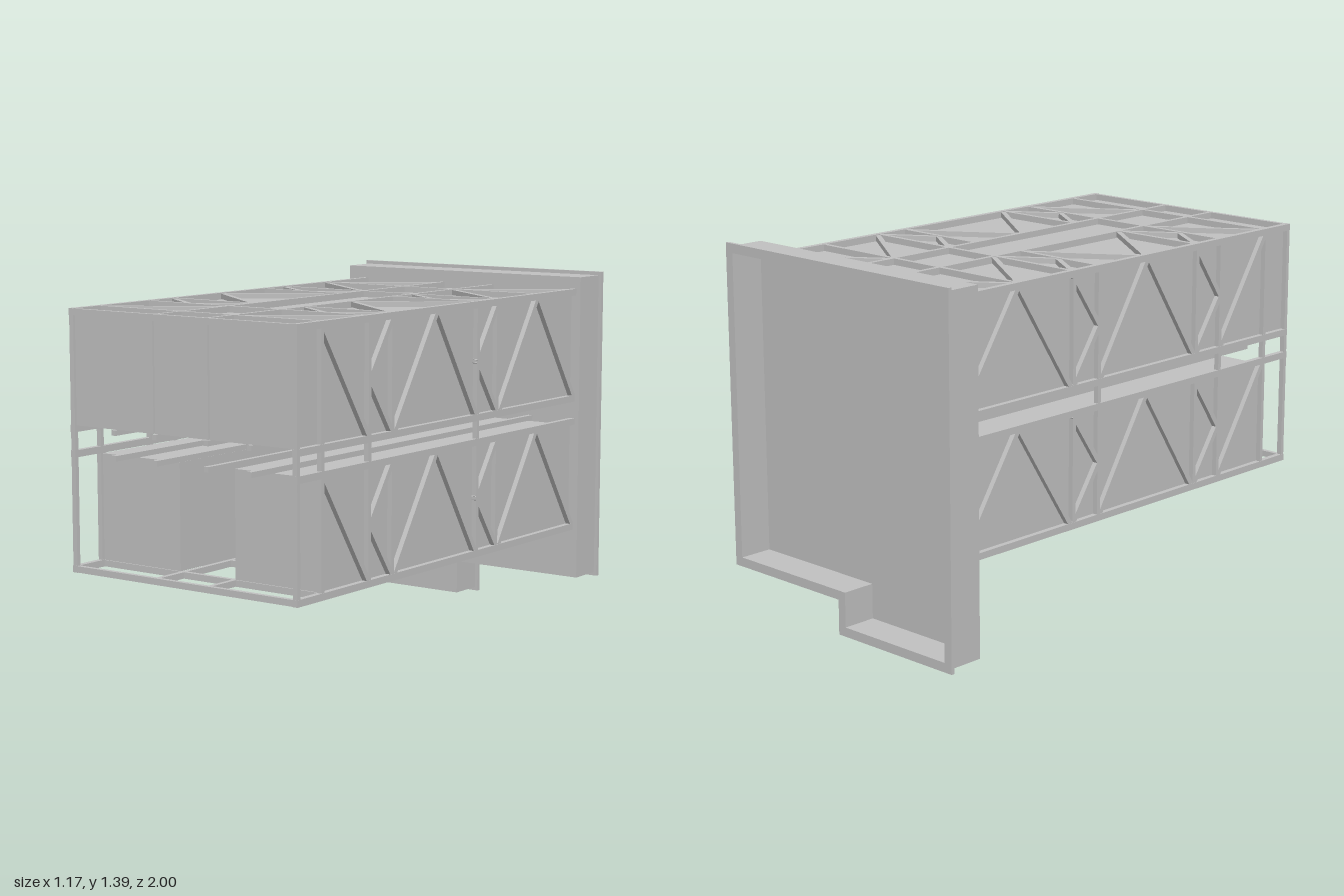
import * as THREE from 'three';

const grey = new THREE.MeshStandardMaterial({ color: 0xc0c0c0 });
grey.name = 'light grey';

const BACK = -0.845, FRONT = 1;
const xL = -0.483, xR = 0.54, xA = -0.092, xB = 0.15; // lengthwise beam lines
const yTop = 1.313, yUpper = 0.884, yLower = 0.79, yBase = 0.359;

function add(parent, name, geometry) {
  const mesh = new THREE.Mesh(geometry, grey);
  mesh.name = name;
  parent.add(mesh);
  return mesh;
}

// Box given by its min and max corners
function block(parent, name, a, b) {
  const mesh = add(parent, name, new THREE.BoxGeometry(b[0] - a[0], b[1] - a[1], b[2] - a[2]));
  mesh.position.set((a[0] + b[0]) / 2, (a[1] + b[1]) / 2, (a[2] + b[2]) / 2);
}

// Straight bar between two points
function bar(parent, name, a, b, w = 0.02, h = w) {
  const p = new THREE.Vector3(...a), q = new THREE.Vector3(...b);
  const mesh = add(parent, name, new THREE.BoxGeometry(w, h, p.distanceTo(q)));
  mesh.position.copy(p).add(q).multiplyScalar(0.5);
  mesh.lookAt(q);
}

// Notched outline of the end cover, moved inwards by d
function outline(d, Type = THREE.Shape) {
  const pts = [[-0.585 + d, d], [0.003 - d, d], [0.003 - d, 0.135 + d], [0.585 - d, 0.135 + d],
    [0.585 - d, 1.387 - d], [-0.585 + d, 1.387 - d]];
  return new Type(pts.map(([x, y]) => new THREE.Vector2(x, y)));
}

function slab(parent, name, outer, inner, z0, z1) {
  const shape = outline(outer);
  if (inner !== null) shape.holes.push(outline(inner, THREE.Path));
  add(parent, name, new THREE.ExtrudeGeometry(shape, { depth: z1 - z0, bevelEnabled: false })).position.z = z0;
}

export function createModel() {
  const model = new THREE.Group();
  model.name = 'framedUnit';

  // Hollow end cover with a thin rim
  const cover = new THREE.Group();
  cover.name = 'endCover';
  model.add(cover);
  slab(cover, 'coverPanel', 0.014, null, -0.865, BACK);
  slab(cover, 'coverWall', 0.014, 0.036, -0.986, -0.865);
  slab(cover, 'coverRim', 0, 0.036, -1, -0.986);

  // Closed compartments: three above, two below
  const boxes = new THREE.Group();
  boxes.name = 'compartments';
  model.add(boxes);
  for (const [x0, x1] of [[-0.473, -0.102], [-0.095, 0.151], [0.158, 0.529]])
    block(boxes, 'upperCompartment', [x0, 0.895, BACK], [x1, 1.3, 0.99]);
  for (const [x0, x1] of [[-0.473, -0.1], [0.157, 0.529]])
    block(boxes, 'lowerCompartment', [x0, 0.372, BACK], [x1, 0.775, 0.85]);

  // Side trusses
  const sides = new THREE.Group();
  sides.name = 'sideTrusses';
  model.add(sides);
  for (const x of [xL, xR]) {
    for (const y of [yTop, yUpper, yLower, yBase])
      bar(sides, 'sideBeam', [x, y, BACK], [x, y, FRONT], 0.022, 0.026);
    for (const z of [0.991, 0.852, 0.572, -0.132]) // full posts, crossing the middle gap
      bar(sides, 'post', [x, yBase, z], [x, yTop, z], 0.02, 0.016);
    for (const [lo, hi] of [[yUpper, yTop], [yBase, yLower]]) {
      const mid = (lo + hi) / 2;
      for (const z of [0.428, -0.268]) bar(sides, 'tierPost', [x, lo, z], [x, hi, z], 0.02, 0.016);
      const lines = [
        [[hi, 0.85], [lo, 0.57]],
        [[lo, 0.42], [hi, 0.14]], [[hi, 0.14], [lo, -0.13]],
        [[lo, -0.28], [hi, -0.56]], [[hi, -0.56], [lo, BACK]],
        [[mid, 0.57], [hi - 0.01, 0.43]], [[mid, 0.57], [lo + 0.01, 0.43]],
        [[mid, -0.13], [hi - 0.01, -0.27]], [[mid, -0.13], [lo + 0.01, -0.27]]];
      for (const [[y0, z0], [y1, z1]] of lines) bar(sides, 'sideBrace', [x, y0, z0], [x, y1, z1]);
    }
  }

  // Top and bottom trusses
  for (const y of [yTop, yBase]) {
    const deck = new THREE.Group();
    deck.name = y === yTop ? 'topTruss' : 'bottomTruss';
    model.add(deck);
    for (const x of [xA, xB]) bar(deck, 'innerBeam', [x, y, BACK], [x, y, FRONT], 0.018, 0.024);
    for (const z of [0.991, 0.843, 0.57, -0.275, -0.56])
      bar(deck, 'crossBeam', [xL, y, z], [xR, y, z], 0.018, 0.024);
    for (const [a, b] of [[xL, xA], [xB, xR]]) {
      const m = (a + b) / 2;
      for (const z of [0.423, -0.135]) bar(deck, 'bayBeam', [a, y, z], [b, y, z], 0.018, 0.024);
      const lines = [
        [b, BACK, a, -0.565], [a, -0.555, b, -0.28],
        [b, -0.135, a, 0.13], [a, 0.13, b, 0.42], [b, 0.57, a, 0.84],
        [a, -0.272, m, -0.14], [m, -0.14, b, -0.272],
        [a, 0.425, m, 0.56], [m, 0.56, b, 0.425]];
      for (const [x0, z0, x1, z1] of lines) bar(deck, 'deckBrace', [x0, y, z0], [x1, y, z1]);
    }
  }

  // Long rods between the two tiers
  for (const y of [yUpper, yLower])
    for (const x of [-0.285, -0.09, 0.148, 0.342])
      bar(model, 'middleRod', [x, y, BACK], [x, y, FRONT], 0.02);

  return model;
}
